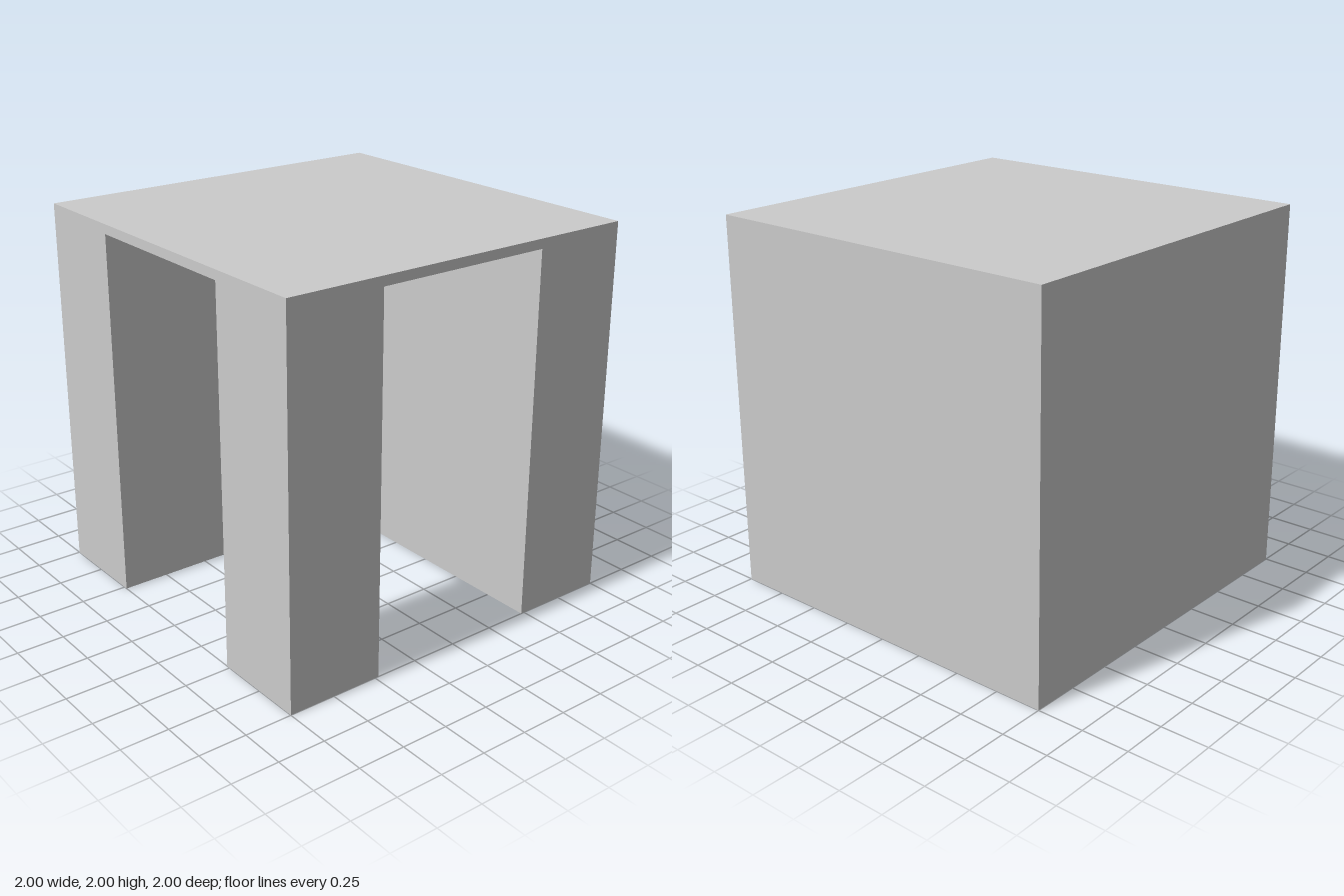
import * as THREE from 'three';

const INNER = 0.48;   // half width of the openings
const CEILING = 1.95; // height of the openings

// Upright prism from a floor plan of [x, z] corners
function prism(name, plan, bottom, top, material) {
  const shape = new THREE.Shape(plan.map(([x, z]) => new THREE.Vector2(x, -z)));
  const geometry = new THREE.ExtrudeGeometry(shape, { depth: top - bottom, bevelEnabled: false });
  geometry.rotateX(-Math.PI / 2).translate(0, bottom, 0);
  const mesh = new THREE.Mesh(geometry, material);
  mesh.name = name;
  return mesh;
}

export function createModel() {
  const group = new THREE.Group();
  group.name = 'cornerShelter';
  const material = new THREE.MeshStandardMaterial({ color: 0xcccccc, flatShading: true });

  // Thick L-shaped wall along the left side and the back
  const wallPlan = [[1, 1], [1, -1], [-1, -1], [-1, -INNER], [INNER, -INNER], [INNER, 1]];
  group.add(prism('cornerWall', wallPlan, 0, CEILING, material));

  // Triangular pillar at the open corner
  const pillarPlan = [[-1, 1], [-INNER, 1], [-1, INNER]];
  group.add(prism('cornerPillar', pillarPlan, 0, CEILING, material));

  // Thin flat roof slab
  const roofPlan = [[-1, 1], [1, 1], [1, -1], [-1, -1]];
  group.add(prism('roof', roofPlan, CEILING, 2, material));

  return group;
}
